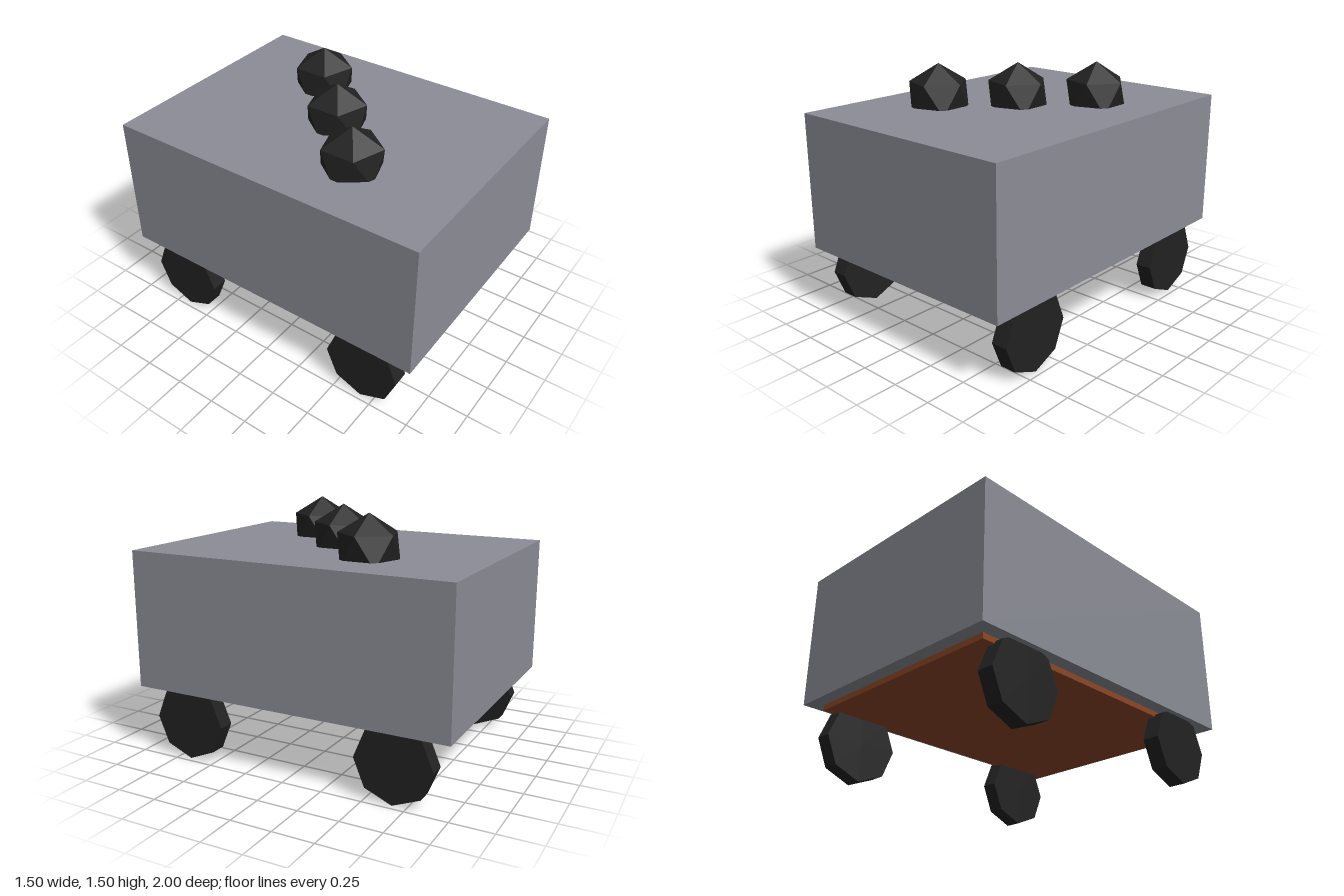
import * as THREE from 'three';

function flat(name, color) {
  const m = new THREE.MeshStandardMaterial({ color, flatShading: true });
  m.name = name;
  return m;
}

export function createModel() {
  const group = new THREE.Group();
  const grey = flat('bodyGrey', 0x8b8d96);
  const brown = flat('floorBrown', 0x8b4726);
  const black = flat('coalBlack', 0x222222);

  const add = (name, geometry, material, x, y, z) => {
    const mesh = new THREE.Mesh(geometry, material);
    mesh.name = name;
    mesh.position.set(x, y, z);
    group.add(mesh);
  };

  // Cart body and the floor board showing below it
  add('body', new THREE.BoxGeometry(1.5, 0.833, 2), grey, 0, 0.8335, 0);
  add('floorBoard', new THREE.BoxGeometry(1.333, 0.067, 1.833), brown, 0, 0.4165, 0);

  // Four eight-sided wheels, axles along x
  const wheel = new THREE.CylinderGeometry(0.233, 0.233, 0.1, 8).rotateZ(Math.PI / 2);
  for (const [side, x] of [['left', 0.667], ['right', -0.667]]) {
    for (const [end, z] of [['Front', 0.667], ['Back', -0.667]]) {
      add(`${side}${end}Wheel`, wheel, black, x, 0.233, z);
    }
  }

  // Three lumps in a diagonal row, each with one corner pointing up
  const tilt = Math.atan(2 / (1 + Math.sqrt(5)));
  const lump = new THREE.IcosahedronGeometry(0.2, 0).rotateZ(-tilt);
  for (const i of [-1, 0, 1]) {
    add(`lump${i + 2}`, lump, black, i * 0.333, 1.3, -i * 0.333);
  }

  return group;
}
